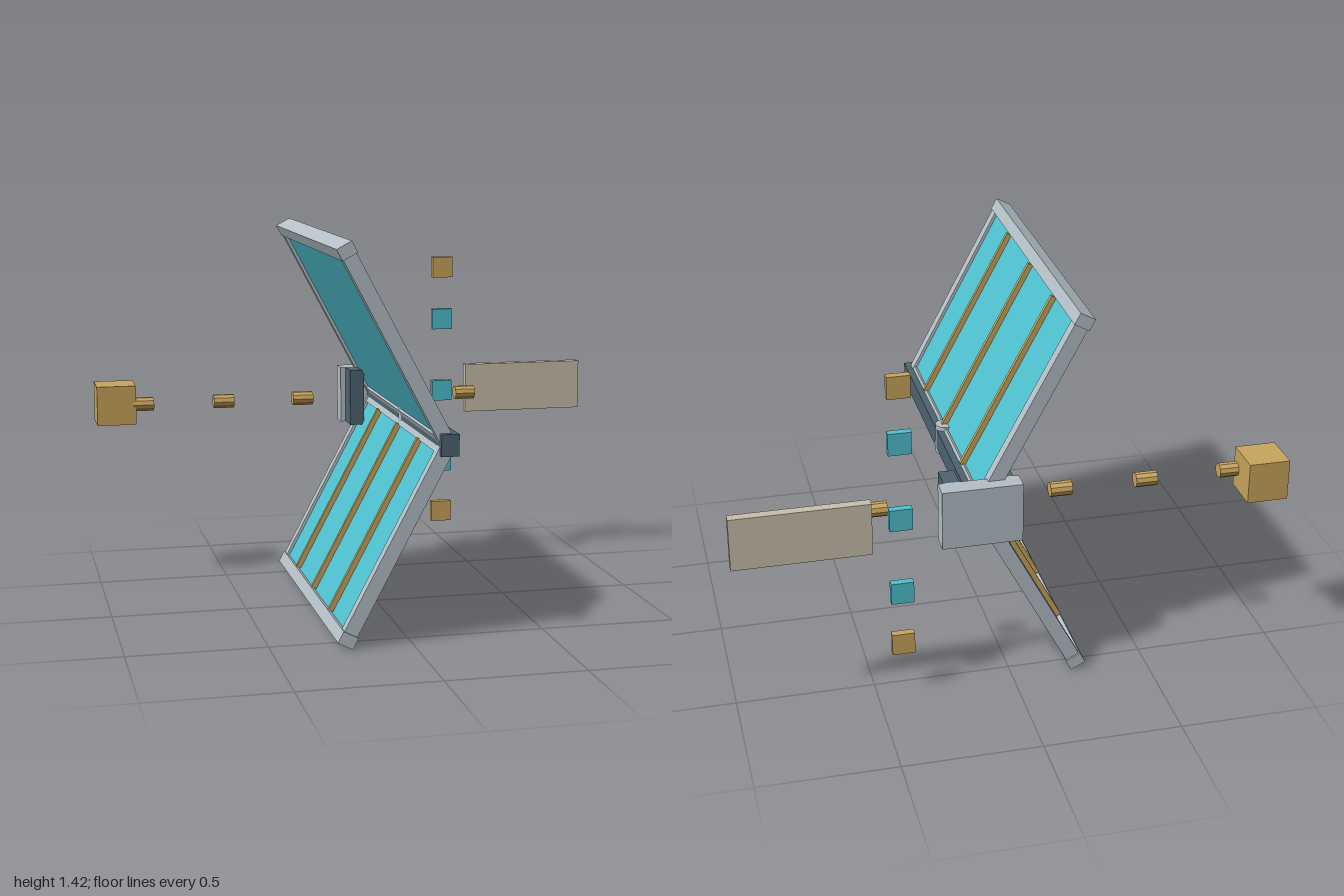
import * as THREE from 'three';

const mat = (name, color) => Object.assign(new THREE.MeshStandardMaterial({ color }), { name });

export function createModel() {
  const glass = mat('cyan', 0x4fc0cf);
  const metal = mat('lightMetal', 0xb4bfc6);
  const dark = mat('darkSteel', 0x4e6370);
  const gold = mat('gold', 0xc9a45c);
  const beige = mat('beige', 0xc9c0ab);
  const model = new THREE.Group();
  model.name = 'hingedPanelAssembly';

  // Box given by its extents on each axis
  const box = (parent, name, material, [x0, x1], [y0, y1], [z0, z1]) => {
    const m = new THREE.Mesh(new THREE.BoxGeometry(x1 - x0, y1 - y0, z1 - z0), material);
    m.position.set((x0 + x1) / 2, (y0 + y1) / 2, (z0 + z1) / 2);
    m.name = name;
    parent.add(m);
    return m;
  };

  // Framed panel: y runs outward from the hinge, ribs lie on the +x face
  const L = 0.787, W = 0.045, zMid = 0.013;
  const makePanel = (name, angle) => {
    const p = new THREE.Group();
    p.name = name;
    const rail = [zMid - 0.586, zMid + 0.586];
    box(p, 'outerRail', metal, [-0.03, 0.03], [L - W, L], rail);
    box(p, 'innerRail', metal, [-0.025, 0.025], [0, W], [zMid - 0.578, zMid + 0.578]);
    for (const s of [-1, 1]) {
      const z = zMid + s * 0.559;
      box(p, 'sideRail', metal, [-0.026, 0.026], [0.01, L - W], [z - 0.021, z + 0.021]);
    }
    box(p, 'glassPane', glass, [-0.015, 0.015], [W, L - W], [zMid - 0.54, zMid + 0.54]);
    for (const z of [-0.3, 0.015, 0.33]) {
      box(p, 'rib', gold, [0.013, 0.034], [0.04, 0.737], [z - 0.008, z + 0.008]);
    }
    p.position.set(0.123, 0.712, 0);
    p.rotation.z = angle;
    model.add(p);
  };
  const tilt = THREE.MathUtils.degToRad(28);
  makePanel('upperPanel', tilt);
  makePanel('lowerPanel', Math.PI - tilt);

  // Central hinge bar with an upright pivot
  box(model, 'hingeBar', dark, [0.09, 0.154], [0.674, 0.752], [-0.55, 0.615]);
  const pivot = new THREE.Mesh(new THREE.CylinderGeometry(0.035, 0.035, 0.113, 24), metal);
  pivot.position.set(0.12, 0.712, 0.012);
  pivot.name = 'pivot';
  model.add(pivot);

  // Mounting bracket
  box(model, 'bracketPlate', metal, [-0.02, 0.267], [0.602, 0.822], [-0.615, -0.545]);
  for (const x of [0, 0.19]) {
    box(model, 'bracketCheek', dark, [x, x + 0.057], [0.602, 0.822], [-0.545, -0.457]);
  }

  // Row of pins lying along x
  const pinGeo = new THREE.CylinderGeometry(0.027, 0.027, 0.08, 10).toNonIndexed();
  pinGeo.computeVertexNormals();
  for (const x of [-0.82, -0.505, -0.19, 0.157, 0.475]) {
    const pin = new THREE.Mesh(pinGeo, gold);
    pin.rotation.z = Math.PI / 2;
    pin.position.set(x, 0.714, -0.479);
    pin.name = 'pin';
    model.add(pin);
  }

  // End block and end plate
  box(model, 'endBlock', gold, [-1, -0.85], [0.638, 0.79], [-0.605, -0.455]);
  box(model, 'endPlate', beige, [0.51, 0.997], [0.616, 0.812], [-0.615, -0.58]);

  // Column of small tiles
  [[1.216, gold], [1.006, glass], [0.713, glass], [0.42, glass], [0.21, gold]].forEach(([y, m]) =>
    box(model, 'tile', m, [0.361, 0.443], [y - 0.041, y + 0.041], [-0.575, -0.547]));

  return model;
}
